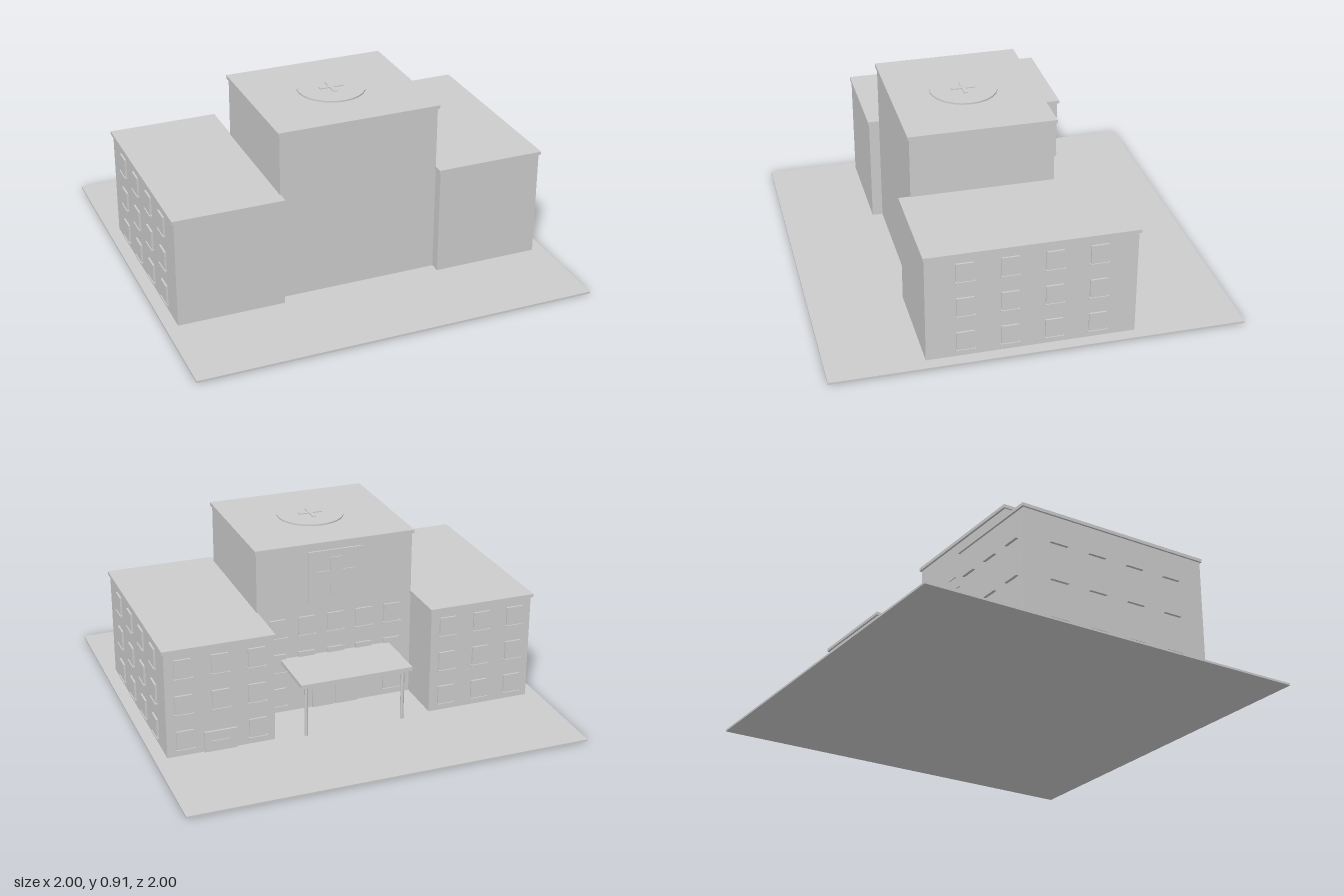
import * as THREE from 'three';

const grey = new THREE.MeshStandardMaterial({ color: 0xcccccc });
grey.name = 'grey';

// Box given by its lower and upper limits on each axis
function slab(parent, name, [x0, x1], [y0, y1], [z0, z1]) {
  const mesh = new THREE.Mesh(new THREE.BoxGeometry(x1 - x0, y1 - y0, z1 - z0), grey);
  mesh.position.set((x0 + x1) / 2, (y0 + y1) / 2, (z0 + z1) / 2);
  mesh.name = name;
  parent.add(mesh);
  return mesh;
}

// Window pane with a sill; local +z points out of the wall
function addWindow(parent, x, y, z, turn) {
  const win = new THREE.Group();
  win.name = 'window';
  slab(win, 'pane', [-0.042, 0.042], [0.005, 0.1], [0, 0.009]);
  slab(win, 'sill', [-0.047, 0.047], [-0.003, 0.005], [0, 0.014]);
  win.position.set(x, y, z);
  win.rotation.y = turn;
  parent.add(win);
}

export function createModel() {
  const model = new THREE.Group();
  model.name = 'building';
  const floors = [0.042, 0.227, 0.412];

  slab(model, 'ground', [-1, 1], [0, 0.01], [-1, 1]);

  // Central block and its roof
  slab(model, 'mainBlock', [-0.402, 0.402], [0.01, 0.87], [-0.217, 0.485]);
  slab(model, 'mainRoof', [-0.41, 0.41], [0.87, 0.888], [-0.228, 0.493]);

  // Side wings with windows on the outer and rear walls
  for (const s of [1, -1]) {
    const wing = new THREE.Group();
    wing.name = s > 0 ? 'leftWing' : 'rightWing';
    model.add(wing);
    const span = (a, b) => (s > 0 ? [a, b] : [-b, -a]);
    slab(wing, 'wingBlock', span(0.403, 0.938), [0.01, 0.55], [-0.469, 0.537]);
    slab(wing, 'wingRoof', span(0.397, 0.948), [0.55, 0.566], [-0.479, 0.543]);
    floors.forEach((y, row) => {
      for (const z of [0.35, 0.139, -0.072, -0.283]) addWindow(wing, s * 0.938, y, z, s * Math.PI / 2);
      for (const dx of [-0.18, 0, 0.18]) {
        if (s > 0 && row === 0 && dx === 0) continue;
        addWindow(wing, s * (0.67 + dx), y, -0.469, Math.PI);
      }
    });
    // Service door replaces one window
    if (s > 0) {
      slab(wing, 'serviceDoor', [0.595, 0.755], [0.01, 0.115], [-0.479, -0.469]);
      slab(wing, 'doorHandle', [0.63, 0.72], [0.06, 0.067], [-0.484, -0.479]);
    }
  }

  // Rear windows and entrance of the central block
  floors.forEach((y, row) => {
    for (const x of [-0.3, -0.15, 0, 0.15, 0.3]) {
      if (row === 0 && Math.abs(x) < 0.2) continue;
      addWindow(model, x, y, -0.217, Math.PI);
    }
  });
  for (const s of [-1, 1]) {
    slab(model, 'entranceDoor', s > 0 ? [0.004, 0.12] : [-0.12, -0.004], [0.01, 0.17], [-0.226, -0.217]);
  }

  // Wall panel with raised cross
  slab(model, 'wallPanel', [-0.14, 0.14], [0.573, 0.843], [-0.226, -0.217]);
  slab(model, 'panelCrossUpright', [-0.03, 0.03], [0.61, 0.806], [-0.231, -0.226]);
  slab(model, 'panelCrossBar', [-0.098, 0.098], [0.678, 0.738], [-0.2308, -0.226]);

  // Entrance canopy on two posts
  slab(model, 'canopy', [-0.286, 0.286], [0.28, 0.3], [-0.522, -0.217]);
  for (const x of [-0.25, 0.25]) {
    const post = new THREE.Mesh(new THREE.CylinderGeometry(0.009, 0.009, 0.27, 12), grey);
    post.position.set(x, 0.145, -0.486);
    post.name = 'canopyPost';
    model.add(post);
  }

  // Rooftop landing pad with cross
  const pad = new THREE.Mesh(new THREE.CylinderGeometry(0.167, 0.167, 0.008, 24), grey);
  pad.position.set(0, 0.9, 0.132);
  pad.name = 'landingPad';
  model.add(pad);
  slab(model, 'padCrossBar', [-0.06, 0.06], [0.904, 0.909], [0.122, 0.142]);
  slab(model, 'padCrossUpright', [-0.01, 0.01], [0.904, 0.9086], [0.072, 0.192]);

  return model;
}
